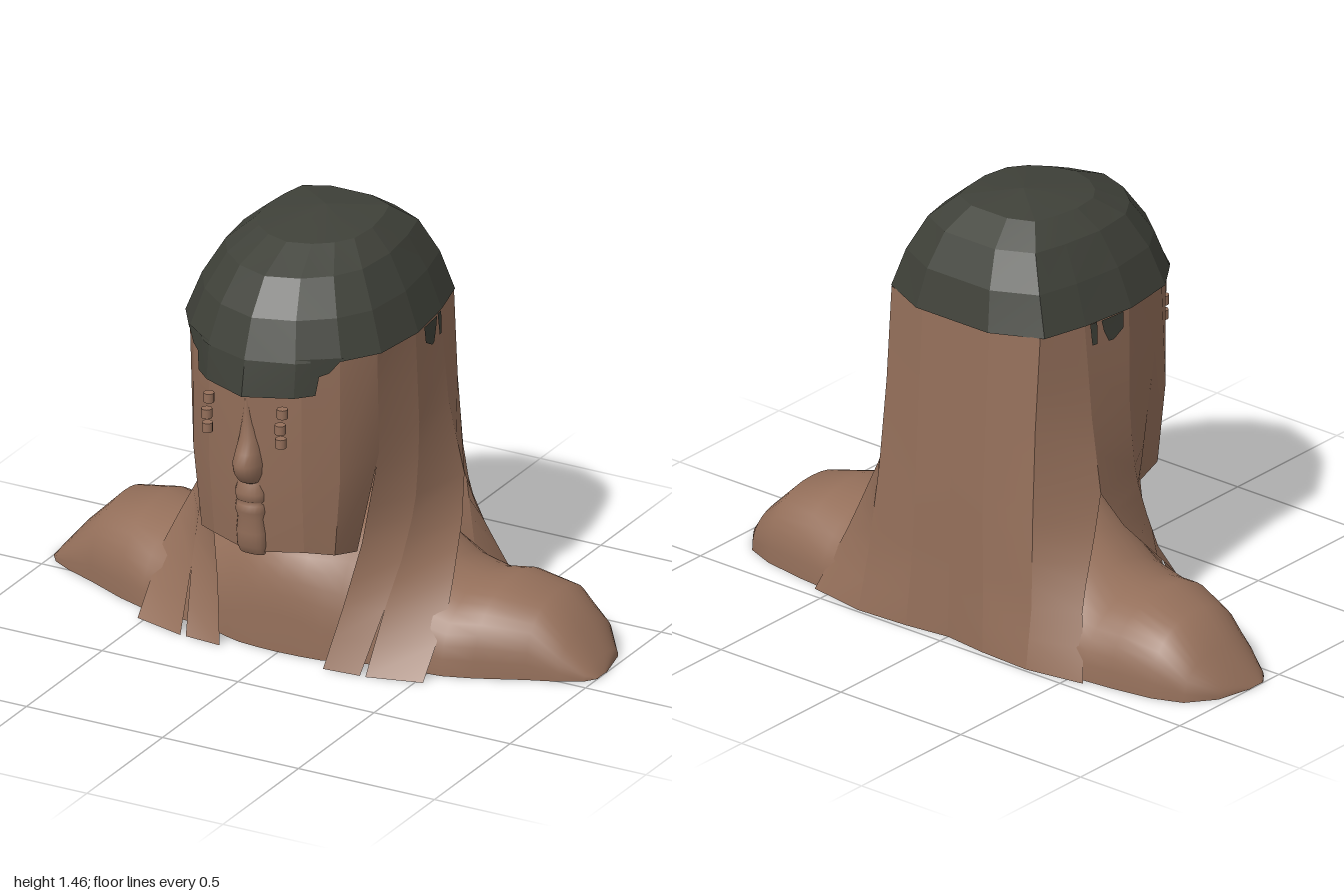
import * as THREE from 'three';
import { toCreasedNormals } from 'three/addons/utils/BufferGeometryUtils.js';

// Surface through rows of equally many [x, y, z] points
function loft(rows, crease) {
  const n = rows[0].length, index = [];
  for (let r = 0; r < rows.length - 1; r++) {
    for (let i = 0; i < n - 1; i++) {
      const a = r * n + i, b = a + 1, c = a + n, d = c + 1;
      index.push(a, c, b, b, c, d);
    }
  }
  const g = new THREE.BufferGeometry();
  g.setAttribute('position', new THREE.Float32BufferAttribute(rows.flat(2), 3));
  g.setIndex(index);
  g.computeVertexNormals();
  return crease === undefined ? g : toCreasedNormals(g, crease);
}

const mirror = (pts, s) => pts.map(([x, y, z]) => [x * s, y, z]);

// Resample a falling edge at common heights so neighbouring locks stay smooth
const LEVELS = [1.12, 0.95, 0.8, 0.68, 0.55, 0.48, 0.42, 0.35, 0.28, 0.2, 0.1, 0];
const resample = (edge) => LEVELS.map((y) => {
  const i = Math.max(1, edge.findIndex((p) => p[1] <= y));
  const [a, b] = [edge[i - 1], edge[i]];
  const t = (a[1] - y) / (a[1] - b[1]);
  return [a[0] + (b[0] - a[0]) * t, y, a[2] + (b[2] - a[2]) * t];
});

export function createModel() {
  const model = new THREE.Group();
  const skin = new THREE.MeshStandardMaterial({ color: 0x946f5a, side: THREE.DoubleSide });
  skin.name = 'warm brown';
  const dark = new THREE.MeshStandardMaterial({ color: 0x3f4139, side: THREE.DoubleSide });
  dark.name = 'dark olive grey';

  const add = (name, geometry, material) => {
    const mesh = new THREE.Mesh(geometry, material);
    mesh.name = name;
    model.add(mesh);
    return mesh;
  };

  // Shoulders and neck: arches [x, height, front z, back z, roundness] lofted sideways, open below
  const half = [
    [0, 0.4, 0.235, -0.42, 0.5], [0.08, 0.405, 0.232, -0.42, 0.55], [0.15, 0.415, 0.225, -0.42, 0.7],
    [0.2, 0.42, 0.21, -0.43, 0.9], [0.27, 0.41, 0.185, -0.44, 1.05], [0.35, 0.36, 0.165, -0.44, 1.1],
    [0.45, 0.285, 0.155, -0.44, 1.15], [0.55, 0.25, 0.145, -0.435, 1.05],
    [0.65, 0.26, 0.11, -0.425, 0.9], [0.8, 0.23, 0.04, -0.4, 0.85], [0.9, 0.13, 0, -0.36, 0.85],
    [0.97, 0.045, -0.04, -0.27, 0.85], [1, 0.002, -0.08, -0.14, 0.85],
  ];
  const arches = [...half.slice(1).reverse().map(([x, ...r]) => [-x, ...r]), ...half];
  add('shouldersAndNeck', loft(arches.map(([x, h, zf, zb, p]) => {
    const row = [];
    for (let i = 0; i <= 20; i++) {
      const t = (Math.PI * i) / 20, c = i === 10 ? 0 : Math.cos(t);
      const z = (zf + zb) / 2 + ((zf - zb) / 2) * Math.sign(c) * Math.abs(c) ** p;
      row.push([x, h * Math.max(0, Math.sin(t)) ** Math.min(0.8, 0.3 + 0.6 * p), z]);
    }
    return row;
  })), skin);

  // Edges shared by neighbouring strips, from the crown down
  const faceMid = [[0, 1.12, 0.45], [0, 0.7, 0.445], [0, 0.43, 0.425]];
  const faceFront = [[0.17, 1.12, 0.385], [0.17, 0.7, 0.385], [0.165, 0.435, 0.36]];
  const faceCorner = [[0.27, 1.12, 0.31], [0.27, 0.7, 0.31], [0.245, 0.42, 0.3]];
  const faceSide = [[0.345, 1.12, 0.2], [0.33, 0.75, 0.16], [0.26, 0.39, 0.18]];
  const split = [[0.375, 1.12, 0], [0.385, 0.75, -0.01], [0.385, 0.52, 0.02], [0.375, 0.36, 0.085], [0.355, 0.2, 0.17]];
  const sideSplit = [[0.355, 1.12, -0.2], [0.385, 0.8, -0.2], [0.435, 0.55, -0.215]];
  const backOuter = [[0.31, 1.12, -0.37], [0.31, 0.8, -0.395], [0.32, 0.5, -0.42], [0.34, 0.2, -0.45], [0.35, 0, -0.49]];
  const backInner = [[0.14, 1.12, -0.42], [0.14, 0.8, -0.438], [0.14, 0.5, -0.455], [0.15, 0.2, -0.465], [0.16, 0, -0.48]];
  const backMid = [[0, 1.12, -0.42], [0, 0.8, -0.438], [0, 0.5, -0.45], [0, 0.2, -0.456], [0, 0, -0.46]];
  const panels = {
    frontFacePanel: [faceMid, faceFront],
    cheekPanel: [faceFront, faceCorner],
    sideFacePanel: [faceCorner, faceSide],
  };
  const locks = {
    innerFrontLock: [
      [...faceSide.slice(0, 2), [0.275, 0.42, 0.175], [0.23, 0.2, 0.22], [0.19, 0, 0.28]],
      [...split, [0.32, 0, 0.27]],
    ],
    outerFrontLock: [
      [...split, [0.34, 0, 0.27]],
      [...sideSplit, [0.468, 0.42, -0.14], [0.525, 0.21, 0.045], [0.525, 0, 0.22]],
    ],
    backSideLock: [
      [...sideSplit, [0.45, 0.42, -0.265], [0.485, 0.22, -0.37], [0.56, 0, -0.455]],
      backOuter,
    ],
    outerBackLock: [backOuter, backInner],
    innerBackLock: [backInner, backMid],
  };

  // Cap: outline from centre front to centre back, rings of [width, depth, height] up to the crown
  const outline = [[0, 0.46], [0.16, 0.41], [0.28, 0.32], [0.36, 0.2], [0.385, 0], [0.36, -0.2], [0.32, -0.36], [0.15, -0.44], [0, -0.44]];
  const rings = [[1, 1, 1.118], [0.87, 0.91, 1.25], [0.7, 0.75, 1.365], [0.5, 0.48, 1.43], [0, 0, 1.458]];
  const capEdge = ([x, z]) => rings.map(([w, s, y]) => [x * w, y - 0.05 * z * s * (1 - s), (z + 0.08) * s - 0.08]);

  for (const s of [1, -1]) {
    const side = s > 0 ? 'left' : 'right';
    for (const [name, edges] of Object.entries(panels)) {
      add(`${side} ${name}`, loft(edges.map((e) => mirror(e, s)), 0.3), skin);
    }
    for (const [name, edges] of Object.entries(locks)) {
      add(`${side} ${name}`, loft(edges.map((e) => mirror(resample(e), s)), 0.6), skin);
    }
    add(`${side} cap`, loft(outline.map((p) => mirror(capEdge(p), s)), 0.1), dark);

    // Ragged fringe over the brow and small tufts below the cap
    add(`${side} fringe`, loft([
      mirror([[0, 1.13, 0.455], [0.16, 1.13, 0.405], [0.23, 1.13, 0.355]], s),
      mirror([[0, 0.995, 0.478], [0.16, 1, 0.42], [0.215, 1.005, 0.375]], s),
    ], 0.1), dark);
    add(`${side} fringeEnd`, loft([
      mirror([[0.2, 1.13, 0.38], [0.285, 1.13, 0.315]], s),
      mirror([[0.2, 1.06, 0.385], [0.25, 1.08, 0.345]], s),
    ], 0.1), dark);
    add(`${side} sideTuft`, loft([
      mirror([[0.385, 1.12, -0.04], [0.376, 1.12, -0.14]], s),
      mirror([[0.388, 1.065, -0.045], [0.378, 1.08, -0.13]], s),
      mirror([[0.386, 1.04, -0.09], [0.382, 1.04, -0.11]], s),
    ], 0.1), dark);
    add(`${side} smallTuft`, loft([
      mirror([[0.37, 1.12, -0.155], [0.366, 1.12, -0.185]], s),
      mirror([[0.375, 1.045, -0.16], [0.371, 1.045, -0.18]], s),
    ], 0.1), dark);

    // Three stacked round pegs for each eye
    [[0.855, 0.46], [0.905, 0.464], [0.955, 0.45]].forEach(([y, z]) => {
      const peg = add(`${side} eyePeg`, new THREE.CylinderGeometry(0.018, 0.018, 0.032, 12), skin);
      peg.position.set(s * 0.135, y, z);
    });

    // Small beads under the shoulders
    [[0.68, 0.03, -0.11], [0.48, 0.07, 0.02], [0.105, 0.02, 0.085]].forEach(([x, y, z]) => {
      const bead = add(`${side} bead`, new THREE.SphereGeometry(0.018, 10, 8), skin);
      bead.position.set(s * x, y, z);
    });
  }

  // Rounded ridge down the face from rows of [y, half width, front z]
  const ridge = (rows) => loft(rows.map(([y, w, z]) => {
    const row = [];
    for (let i = 0; i <= 10; i++) {
      const t = (Math.PI * i) / 10;
      row.push([-w * Math.cos(t), y, 0.4 + (z - 0.4) * Math.max(0, Math.sin(t)) ** 0.7]);
    }
    return row;
  }));
  add('nose', ridge([
    [1, 0.006, 0.45], [0.92, 0.02, 0.452], [0.84, 0.035, 0.457], [0.79, 0.044, 0.478],
    [0.75, 0.051, 0.494], [0.715, 0.05, 0.483], [0.685, 0.04, 0.46], [0.67, 0.03, 0.43],
  ]), skin);
  add('mouthAndChin', ridge([
    [0.69, 0.045, 0.44], [0.67, 0.048, 0.447], [0.64, 0.055, 0.455], [0.615, 0.053, 0.452],
    [0.608, 0.048, 0.442], [0.6, 0.053, 0.452], [0.575, 0.055, 0.454], [0.55, 0.048, 0.444],
    [0.5, 0.053, 0.446], [0.45, 0.052, 0.44], [0.42, 0.045, 0.42],
  ]), skin);

  return model;
}
